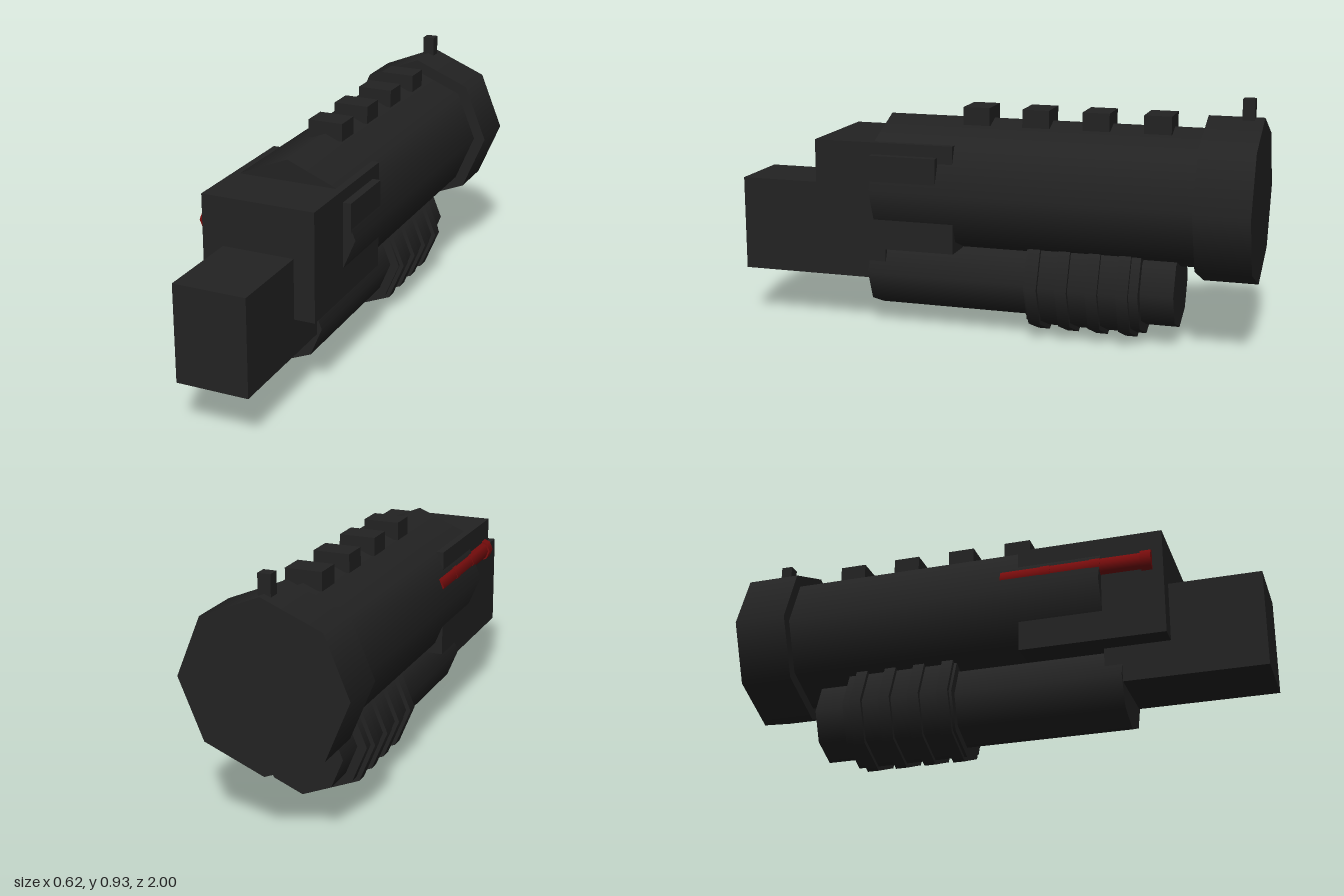
import * as THREE from 'three';

export function createModel() {
  const group = new THREE.Group();
  const gunmetal = new THREE.MeshStandardMaterial({ color: 0x232323 });
  gunmetal.name = 'gunmetal';
  const shellRed = new THREE.MeshStandardMaterial({ color: 0x780c0c });
  shellRed.name = 'shellRed';

  const add = (name, geometry, material, x, y, z) => {
    const mesh = new THREE.Mesh(geometry, material);
    mesh.name = name;
    mesh.position.set(x, y, z);
    group.add(mesh);
  };
  // Box given by its limits on each axis
  const box = (name, x0, x1, y0, y1, z0, z1) =>
    add(name, new THREE.BoxGeometry(x1 - x0, y1 - y0, z1 - z0), gunmetal,
      (x0 + x1) / 2, (y0 + y1) / 2, (z0 + z1) / 2);
  // Eight-sided tube along z with a corner pointing straight up
  const tube = (name, r, x, y, z0, z1, material = gunmetal) =>
    add(name, new THREE.CylinderGeometry(r, r, z1 - z0, 8).rotateX(Math.PI / 2),
      material, x, y, (z0 + z1) / 2);

  // Barrel and muzzle
  tube('barrel', 0.262, 0, 0.555, -0.82, 0.425);
  tube('muzzleCollar', 0.309, 0, 0.555, -1, -0.797);

  // Receiver, rear block and side cover
  box('receiver', -0.215, 0.215, 0.328, 0.737, 0.11, 0.657);
  box('rearBlock', -0.136, 0.136, 0.19, 0.555, 0.41, 1);
  box('ejectionCover', 0.18, 0.246, 0.56, 0.692, 0.168, 0.428);

  // Magazine tube with ribbed pump grip
  tube('magazineTube', 0.155, 0, 0.212, -0.713, 0.476);
  tube('pumpGrip', 0.191, 0, 0.212, -0.588, -0.156);
  for (let i = 0; i < 4; i++) {
    const z = -0.188 - i * 0.1145;
    tube('pumpRib', 0.208, 0, 0.212, z - 0.022, z + 0.022);
  }

  // Top rail blocks and front sight
  for (let i = 0; i < 4; i++) {
    const z = 0.062 - i * 0.229;
    box('railBlock', -0.068, 0.068, 0.795, 0.863, z - 0.051, z + 0.051);
  }
  box('frontSight', -0.023, 0.023, 0.84, 0.931, -0.965, -0.921);

  // Spare shells in a row on the right-hand side
  for (let i = 0; i < 3; i++) {
    const end = 0.615 - i * 0.19;
    tube('shell', 0.037, -0.205, 0.621, end - 0.19, end, shellRed);
    tube('shellRim', i ? 0.039 : 0.044, -0.205, 0.621, end - 0.038, end + 0.002, shellRed);
  }
  return group;
}
